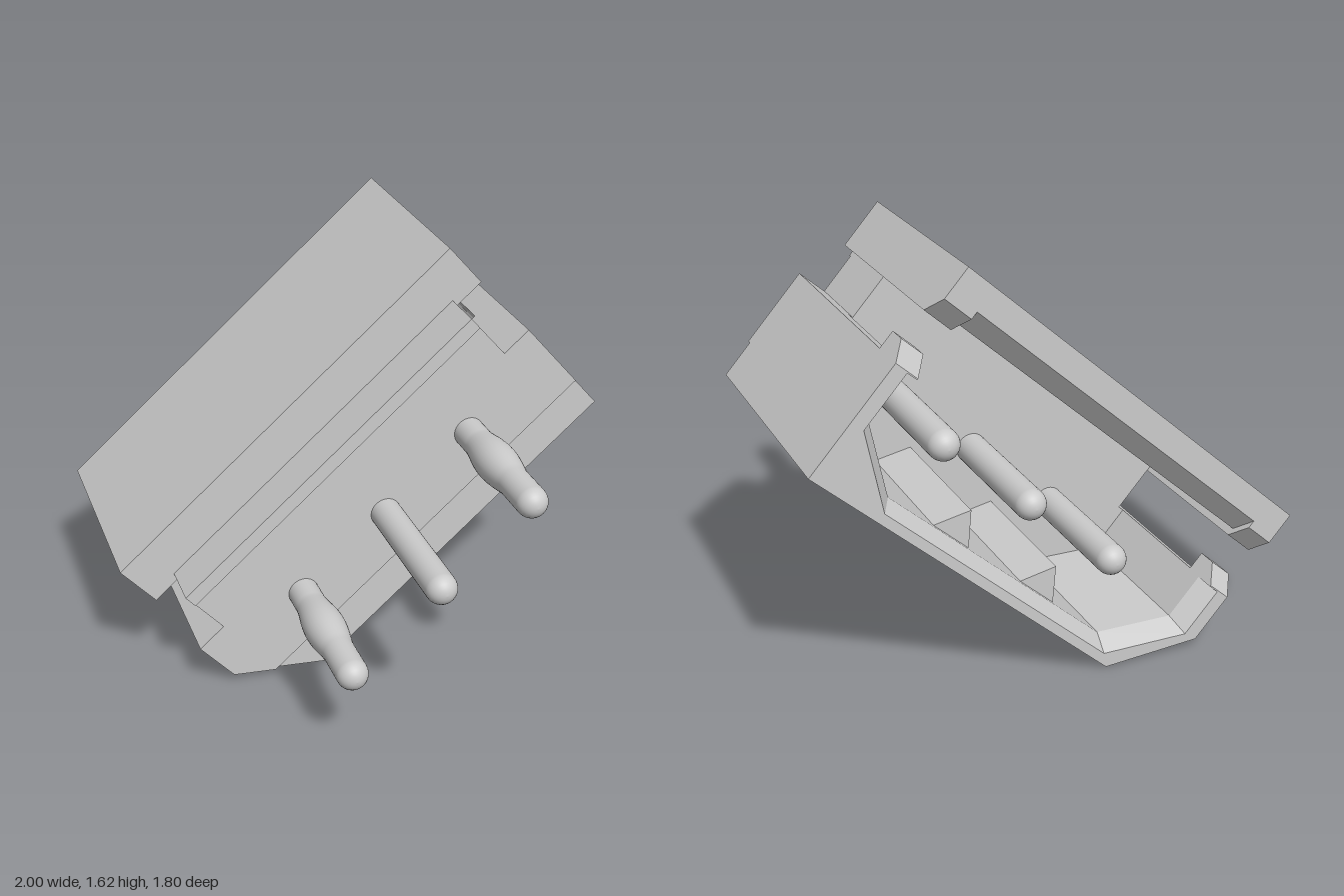
import * as THREE from 'three';

const grey = new THREE.MeshStandardMaterial({ color: 0xcccccc });

function part(name, geometry) {
  const mesh = new THREE.Mesh(geometry, grey);
  mesh.name = name;
  return mesh;
}

const shapeOf = pts => new THREE.Shape(pts.map(p => new THREE.Vector2(p[0], p[1])));

// Outline in x, y extruded from z0 (back) to z1 (front)
function slab(pts, z0, z1) {
  const g = new THREE.ExtrudeGeometry(shapeOf(pts), { depth: z1 - z0, bevelEnabled: false });
  return g.translate(0, 0, z0);
}

// Outline in depth, y (depth = -z) extruded from x0 to x1
function rail(pts, x0, x1) {
  const g = new THREE.ExtrudeGeometry(shapeOf(pts), { depth: x1 - x0, bevelEnabled: false });
  return g.rotateY(Math.PI / 2).translate(x0, 0, 0);
}

// Slab whose back outline is replaced by another with the same point count
function taper(front, back, z0, z1) {
  const g = slab(front, z0, z1);
  const p = g.attributes.position;
  for (let i = 0; i < p.count; i++) {
    if (p.getZ(i) > (z0 + z1) / 2) continue;
    const k = front.findIndex(f => Math.hypot(f[0] - p.getX(i), f[1] - p.getY(i)) < 1e-4);
    p.setXY(i, back[k][0], back[k][1]);
  }
  g.computeVertexNormals();
  return g;
}

// Round pin along z with domed ends and an optional swelling
function pin(swollen) {
  const r = 0.06, tip = 0.625, tail = -0.93, pts = [];
  for (let i = 0; i <= 8; i++) {
    const a = i / 8 * Math.PI / 2;
    pts.push(new THREE.Vector2(r * Math.sin(a), tail + r - r * Math.cos(a)));
  }
  if (swollen) {
    for (let i = 0; i <= 12; i++) {
      pts.push(new THREE.Vector2(r + 0.019 * Math.sin(i / 12 * Math.PI) ** 1.3, 0.1 + 0.32 * i / 12));
    }
  }
  for (let i = 8; i >= 0; i--) {
    const a = i / 8 * Math.PI / 2;
    pts.push(new THREE.Vector2(r * Math.sin(a), tip - r + r * Math.cos(a)));
  }
  return new THREE.LatheGeometry(pts, 32).rotateX(Math.PI / 2);
}

export function createModel() {
  const model = new THREE.Group();
  model.name = 'pinHeader';
  const body = new THREE.Group();
  body.name = 'connector';
  model.add(body);

  const W = 0.871, N = 0.745, pitch = 0.443;
  const floorZ = -0.33, lipZ = -0.95, backZ = -1.033;

  // Base block, one lower corner cut, upper corners notched
  body.add(part('base', slab([
    [-0.606, -0.326], [W, -0.326], [W, 0.145], [N, 0.145], [N, 0.365],
    [-N, 0.365], [-N, 0.145], [-W, 0.145], [-W, -0.054],
  ], floorZ, -0.018)));
  body.add(part('facePlate', slab([
    [-0.753, -0.175], [W, -0.175], [W, 0.145], [N, 0.145], [N, 0.365],
    [-N, 0.365], [-N, 0.145], [-W, 0.145], [-W, -0.054],
  ], -0.018, 0)));
  body.add(part('faceRidge', slab([[-N, 0.31], [N, 0.31], [N, 0.365], [-N, 0.365]], 0, 0.012)));

  // U-shaped shroud with a lead-in chamfer around its mouth
  const outer = [[-W, 0.145], [-W, -0.054], [-0.606, -0.326], [W, -0.326], [W, 0.145]];
  const inner = [[0.77, 0.145], [0.77, -0.075], [0.54, -0.247], [-0.54, -0.247], [-0.77, -0.045], [-0.77, 0.145]];
  const mouth = [[0.815, 0.145], [0.815, -0.095], [0.56, -0.288], [-0.56, -0.288], [-0.815, -0.06], [-0.815, 0.145]];
  body.add(part('shroud', slab([...outer, ...inner], lipZ, floorZ)));
  body.add(part('shroudLip', taper([...outer, ...inner], [...outer, ...mouth], backZ, lipZ)));

  // Latch bumps on the end walls
  const bump = [[0.88, 0.14], [1.033, 0.14], [1.033, 0.145], [0.96, 0.217], [0.88, 0.217]];
  body.add(part('leftBump', rail(bump, 0.77, W)));
  body.add(part('rightBump', rail(bump, -W, -0.77)));

  // Upper wall, slightly thicker at its ends
  const wall = y => [[0.172, y], [0.965, y], [1.033, y + 0.07], [1.033, 0.535], [0.172, 0.535]];
  body.add(part('upperWall', rail(wall(0.365), -N, N)));
  body.add(part('upperWallLeftEnd', rail(wall(0.335), N, W)));
  body.add(part('upperWallRightEnd', rail(wall(0.335), -W, -N)));

  // Ribs between the pins
  for (const s of [-1, 1]) {
    const x = s * pitch / 2;
    body.add(part('rib', slab([[x - 0.09, -0.25], [x + 0.09, -0.25], [x, -0.13]], -0.925, floorZ)));
  }

  // Pins, the outer two swollen
  for (const i of [-1, 0, 1]) {
    const p = part('pin', pin(i !== 0));
    p.position.x = i * pitch;
    body.add(p);
  }

  // Tilted pose
  body.rotation.set(0, 0.134, 0.719, 'YXZ');
  body.position.set(0.139, 0.65, 0.235);
  return model;
}
